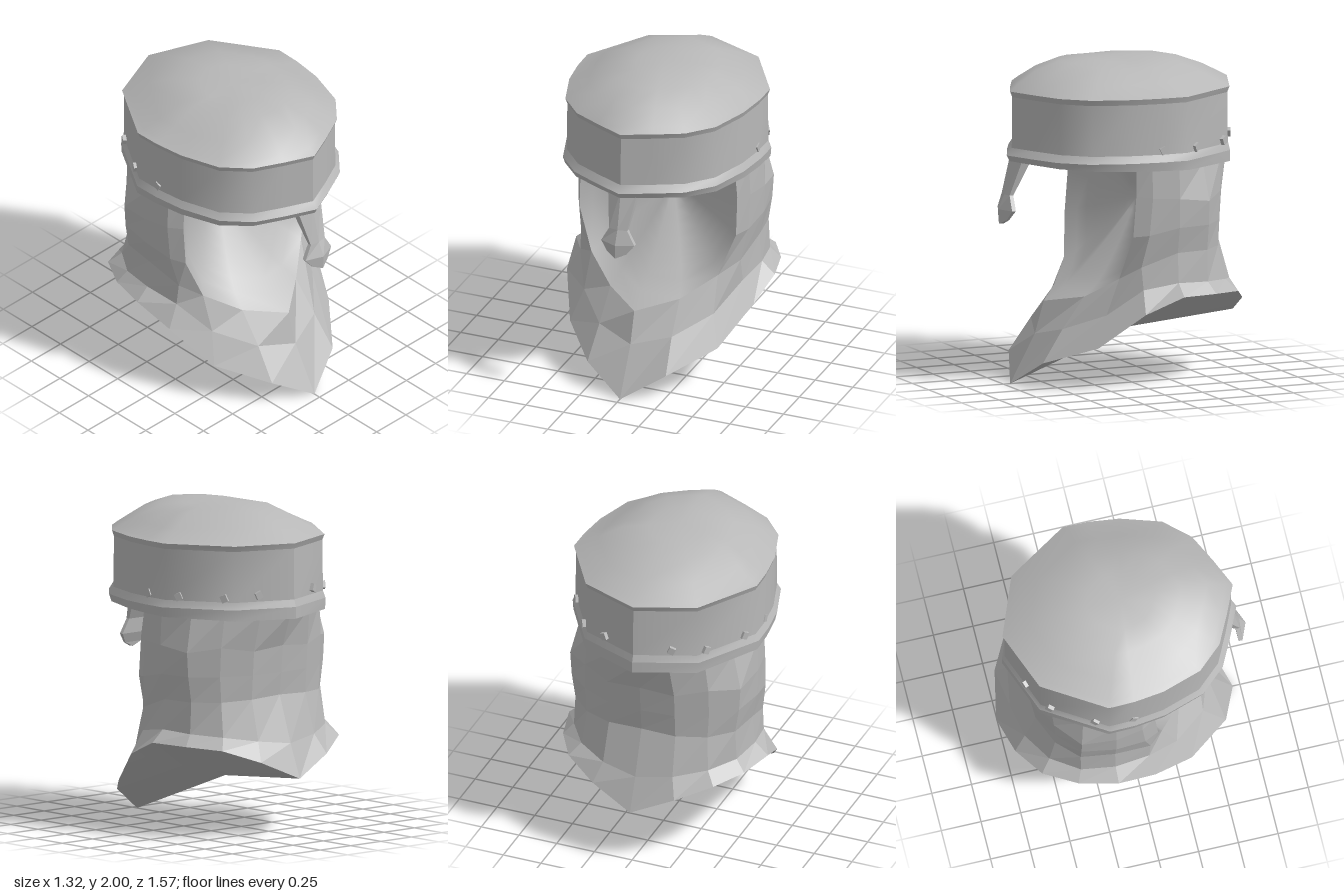
import * as THREE from 'three';
import { mergeVertices, toCreasedNormals } from 'three/addons/utils/BufferGeometryUtils.js';

// Complete a half row (front to back on +x) with its mirror image.
const closed = (half) => [...half, ...half.slice(0, -1).reverse().map(([x, y, z]) => [-x, y, z])];

// Skin rows of points, listed from top to bottom.
function loft(rows, style) {
  const n = rows[0].length;
  const index = [];
  for (let r = 0; r < rows.length - 1; r++) {
    for (let c = 0; c < n - 1; c++) {
      const a = r * n + c, b = a + 1, d = a + n, e = d + 1;
      index.push(a, d, b, b, d, e);
    }
  }
  let g = new THREE.BufferGeometry();
  g.setAttribute('position', new THREE.Float32BufferAttribute(rows.flat(2), 3));
  g.setIndex(index);
  if (style === 'flat') g = g.toNonIndexed();
  else g = mergeVertices(g, 1e-4);
  g.computeVertexNormals();
  return style === 'creased' ? toCreasedNormals(g, 0.7) : g;
}

export function createModel() {
  const group = new THREE.Group();
  const steel = new THREE.MeshStandardMaterial({ color: 0xb8b8b8, side: THREE.DoubleSide });
  steel.name = 'grey steel';
  const add = (name, geometry) => {
    const mesh = new THREE.Mesh(geometry, steel);
    mesh.name = name;
    group.add(mesh);
    return mesh;
  };

  // Plan outline shared by the band and the dome (x, z)
  const plan = [[0, 0.705], [0.18, 0.625], [0.36, 0.535], [0.5, 0.38], [0.58, 0.13],
    [0.604, -0.06], [0.607, -0.22], [0.37, -0.6], [0, -0.745]];
  const ring = (s, y, tilt = 0, shift = 0) =>
    closed(plan.map(([x, z]) => [x * s, y + z * tilt, z * s + shift]));

  // Band with flared rims and an inner wall, each strip sharp at its edges
  const bandRings = [
    ring(1, 1.815), ring(0.98, 1.78), ring(0.985, 1.465), ring(1.018, 1.42, 0, 0.01),
    ring(1.005, 1.366, 0.025), ring(0.96, 1.368, 0.02), ring(0.95, 1.5), ring(0.93, 1.75),
  ];
  ['topRim', 'bandWall', 'lowerFlare', 'lowerRim', 'bandUnderside', 'innerFlare', 'innerWall']
    .forEach((name, i) => add(name, loft(bandRings.slice(i, i + 2), 'creased')));

  // Shallow dome, fuller towards the front and back than at the sides
  const domeRing = (s, y, front, back) => closed(plan.map(([x, z]) =>
    [x * s, y + (z > 0 ? front : back) * (z * z) / (x * x + z * z), z * s]));
  add('dome', loft([
    domeRing(0, 2, 0, 0), domeRing(0.3, 1.98, 0.017, 0.01), domeRing(0.54, 1.957, 0.025, 0.012),
    domeRing(0.77, 1.88, 0.05, 0.025), domeRing(0.94, 1.83, 0.02, 0.01), ring(1, 1.815),
  ], 'smooth'));

  // Face opening edge, from the chin up to the band
  const chin = [[0, 0.5, 0.48], [0.23, 0.55, 0.31], [0.42, 0.68, 0.16]];
  const cheek = [[0.52, 0.95, 0.11], [0.52, 1.2, 0.09], [0.5, 1.38, 0.08]];

  // Neck rows, from the face opening round to the back
  const neck = [
    [cheek[2], [0.56, 1.38, 0], [0.585, 1.38, -0.17], [0.51, 1.38, -0.36],
      [0.39, 1.38, -0.53], [0.2, 1.38, -0.65], [0, 1.37, -0.7]],
    [cheek[1], [0.57, 1.19, 0], [0.595, 1.18, -0.17], [0.565, 1.15, -0.38],
      [0.41, 1.18, -0.52], [0.22, 1.15, -0.61], [0, 1.17, -0.63]],
    [cheek[0], [0.565, 0.96, 0.02], [0.59, 1, -0.17], [0.555, 1, -0.38],
      [0.41, 1, -0.51], [0.22, 1, -0.6], [0, 1, -0.615]],
    [chin[2], [0.53, 0.76, 0.06], [0.56, 0.84, -0.17], [0.53, 0.84, -0.38],
      [0.4, 0.84, -0.51], [0.22, 0.85, -0.59], [0, 0.86, -0.6]],
  ];
  add('neckGuard', loft(neck.map(closed), 'flat'));

  // Chin and collar, flaring out to a pointed hem
  const crease = [[0, 0.3, 0.54], [0.24, 0.36, 0.46], [0.43, 0.46, 0.25], [0.54, 0.62, 0.05],
    [0.575, 0.655, -0.17], [0.54, 0.645, -0.38], [0.42, 0.63, -0.55], [0.23, 0.6, -0.66], [0, 0.57, -0.7]];
  const hem = [[0, 0, 0.705], [0.26, 0.16, 0.6], [0.49, 0.27, 0.33], [0.62, 0.48, 0.07],
    [0.66, 0.58, -0.17], [0.6, 0.575, -0.41], [0.48, 0.56, -0.61], [0.27, 0.48, -0.73], [0, 0.36, -0.785]];
  const collarTop = [chin[0], chin[1], ...neck[3]];
  add('collar', loft([collarTop, crease, hem].map(closed), 'flat'));

  // Underside, drawn up to one central point
  add('underside', loft([closed(hem), closed(hem.map(() => [0, 0.3, -0.1]))], 'smooth'));

  // Smooth, shallow dish closing the face opening and running up into the band
  const rim = closed([...chin, ...cheek, [0.5, 1.55, 0.08], [0.42, 1.75, 0.1], [0, 1.85, 0.1]]);
  const dish = [];
  for (let i = 0; i <= 8; i++) {
    const t = i / 8, depth = t ** 0.75;
    dish.push(rim.map(([x, y, z]) =>
      [x * (1 - t), y + (1.1 - y) * t, z + (-0.14 - z) * depth]));
  }
  add('faceHollow', loft(dish, 'smooth'));

  // Nose guard: ridged blade as closed sections [y, half width, side z, ridge z, back z]
  const blade = [[1.43, 0.1, 0.655, 0.69, 0.59], [1.18, 0.06, 0.735, 0.745, 0.71],
    [1.09, 0.11, 0.74, 0.785, 0.715], [1.03, 0.065, 0.755, 0.782, 0.74], [1, 0, 0.78, 0.78, 0.745]];
  add('noseGuard', loft(blade.map(([y, w, side, ridge, back]) =>
    closed([[0, y, ridge], [w, y, side], [w, y, back], [0, y, back]])), 'flat'));

  // Small square studs around the sides and back: x, y, z, facing angle
  const studs = [[0.582, 1.49, -0.06, 1.57], [0.55, 1.49, -0.29, 2.15],
    [0.4, 1.49, -0.54, 2.15], [0.22, 1.505, -0.65, 2.76]];
  for (const m of [1, -1]) {
    for (const [x, y, z, turn] of studs) {
      const stud = add('stud', new THREE.BoxGeometry(0.04, 0.045, 0.04));
      stud.position.set(x * m, y, z);
      stud.rotation.set(0, turn * m, 0.45 * m);
    }
  }
  return group;
}
